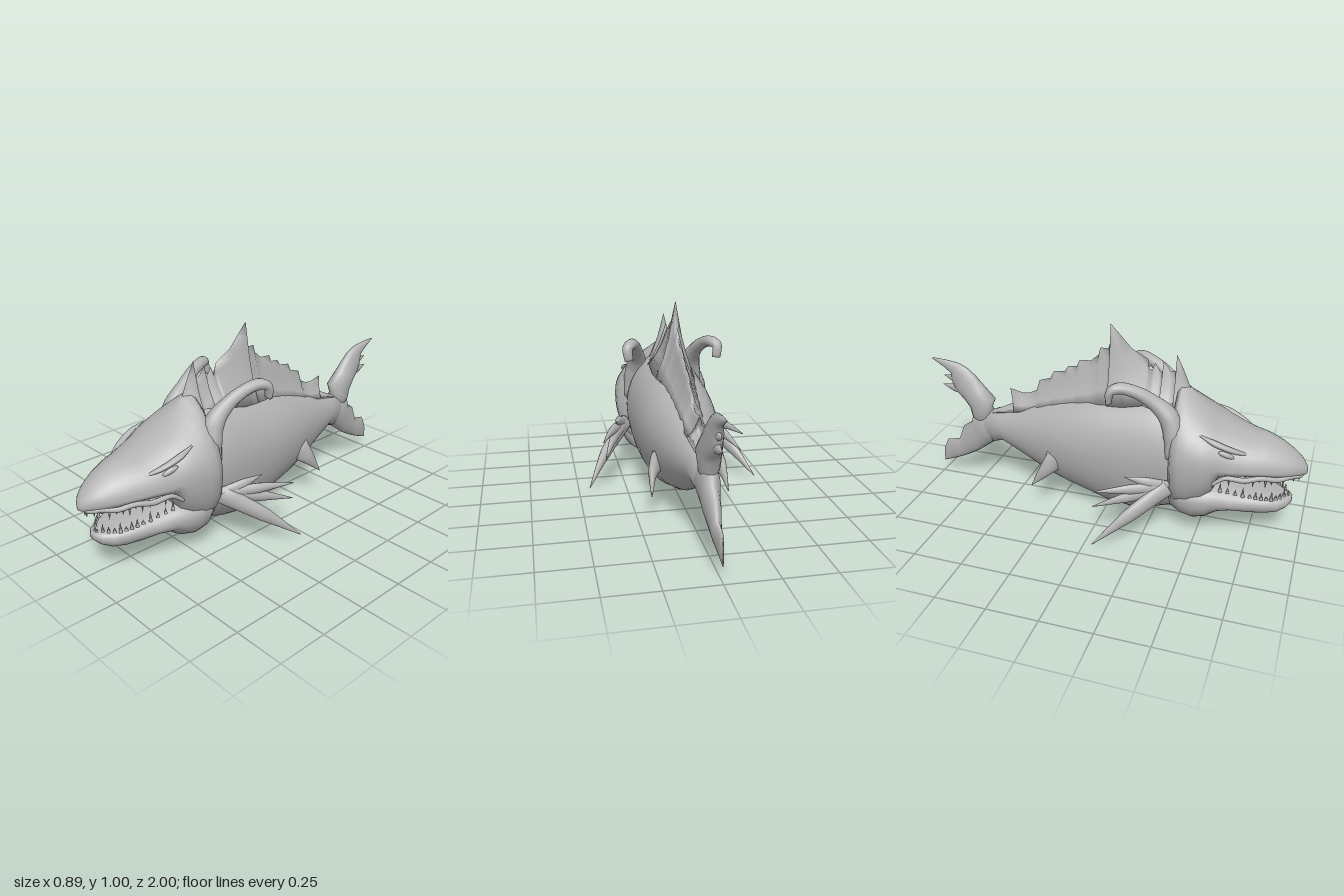
import * as THREE from 'three';

const V = (x, y, z) => new THREE.Vector3(x, y, z);
const skin = new THREE.MeshStandardMaterial({ color: 0xb2b2b2 });
skin.name = 'grey skin';

// Closed skin over a list of equal-length rings, with both ends capped
function loft(rings) {
  const n = rings[0].length, pos = [], idx = [];
  rings.forEach(r => r.forEach(p => pos.push(p.x, p.y, p.z)));
  for (let i = 0; i < rings.length - 1; i++) {
    for (let j = 0; j < n; j++) {
      const k = (j + 1) % n, a = i * n + j, b = i * n + k;
      idx.push(a, a + n, b, b, a + n, b + n);
    }
  }
  for (const end of [0, rings.length - 1]) {
    const c = rings[end].reduce((s, p) => s.add(p), V(0, 0, 0)).divideScalar(n);
    const ci = pos.length / 3;
    pos.push(c.x, c.y, c.z);
    for (let j = 0; j < n; j++) {
      const a = end * n + j, b = end * n + (j + 1) % n;
      idx.push(ci, end ? b : a, end ? a : b);
    }
  }
  const g = new THREE.BufferGeometry();
  g.setAttribute('position', new THREE.Float32BufferAttribute(pos, 3));
  g.setIndex(idx);
  g.computeVertexNormals();
  return g;
}

// Ellipse-like ring; N points to the first vertex, B to the quarter turn
function ring(c, N, B, n = 12) {
  return Array.from({ length: n }, (_, j) => {
    const a = j / n * Math.PI * 2;
    return c.clone().addScaledVector(N, Math.cos(a)).addScaledVector(B, Math.sin(a));
  });
}

// Rows along z: [z, half width, top, widest height, bottom, peak]; a high peak gives a sharp ridge
function hull(rows, lowerPower, n = 36) {
  return loft(rows.map(([z, w, top, mid, bot, peak]) => Array.from({ length: n }, (_, j) => {
    const a = j / n * Math.PI * 2, s = Math.sin(a), c = Math.cos(a);
    const p = c > 0 ? peak : lowerPower;
    return V(Math.sign(s) * w * Math.abs(s) ** p, mid + c * (c > 0 ? top - mid : mid - bot), z);
  })));
}

// Curved tapering limb: radii are [across, along ref] pairs
function limb(points, radii, steps = 14, ref = V(0, 1, 0)) {
  const curve = new THREE.CatmullRomCurve3(points);
  const rings = [];
  for (let i = 0; i <= steps; i++) {
    const t = i / steps, T = curve.getTangent(t);
    const f = t * (radii.length - 1), k = Math.min(Math.floor(f), radii.length - 2);
    const r = [0, 1].map(q => THREE.MathUtils.lerp(radii[k][q], radii[k + 1][q], f - k));
    const B = ref.clone().cross(T).normalize(), N = T.clone().cross(B);
    rings.push(ring(curve.getPoint(t), N.multiplyScalar(r[1]), B.multiplyScalar(r[0])));
  }
  return loft(rings);
}

// Upright fin lobe: rows of [lower z, lower y, upper z, upper y, half thickness]
function lobe(rows) {
  return loft(rows.map(([az, ay, bz, by, t]) =>
    ring(V(0, (ay + by) / 2, (az + bz) / 2), V(0, (ay - by) / 2, (az - bz) / 2), V(t, 0, 0), 16)));
}

export function createModel() {
  const model = new THREE.Group();
  const add = (name, geo) => {
    const m = new THREE.Mesh(geo, skin);
    m.name = name;
    model.add(m);
    return m;
  };

  add('body', hull([
    [-.7, .05, .43, .35, .235, 1], [-.6, .073, .45, .36, .268, 1], [-.5, .102, .485, .36, .222, 1],
    [-.4, .128, .525, .36, .17, 1], [-.3, .155, .56, .37, .12, 1], [-.2, .179, .592, .37, .085, 1],
    [-.1, .194, .62, .37, .055, 1], [0, .203, .64, .37, .02, 1], [.14, .208, .657, .37, 0, 1],
    [.22, .21, .663, .37, .015, 1], [.3, .21, .67, .38, .04, 1], [.4, .2, .67, .38, .07, 1.2],
    [.46, .15, .62, .38, .12, 1.2]], 1.15));

  // Skull with flared gill covers, ending in the upper jaw
  add('upperHead', hull([
    [.355, .2, .74, .41, .14, 1.8], [.375, .245, .74, .41, .14, 1.75], [.41, .256, .72, .415, .14, 1.65],
    [.45, .257, .688, .42, .14, 1.45], [.52, .247, .635, .42, .18, 1.15], [.565, .232, .605, .42, .23, 1],
    [.6, .215, .588, .41, .335, 1], [.66, .198, .562, .4, .348, 1], [.73, .18, .538, .4, .35, 1.1],
    [.8, .153, .53, .395, .352, 1.25], [.87, .124, .5, .39, .345, 1.25], [.93, .089, .46, .385, .34, 1.15],
    [.97, .056, .425, .38, .345, 1], [.993, .026, .395, .37, .348, 1], [1, .01, .38, .365, .353, 1]], 0.55));

  add('lowerJaw', hull([
    [.36, .17, .28, .2, .09, .6], [.42, .21, .29, .2, .065, .6], [.48, .217, .29, .2, .052, .6],
    [.54, .208, .288, .2, .07, .6], [.6, .188, .28, .2, .115, .6], [.66, .165, .262, .19, .128, .6],
    [.74, .142, .248, .19, .12, .6], [.82, .117, .235, .185, .12, .6], [.88, .09, .225, .18, .132, .6],
    [.92, .058, .216, .185, .155, .6], [.942, .02, .21, .192, .18, .6]], 0.8));

  // Ragged dorsal crest, listed from back to front as [z, y]; it flares out into the back
  const crest = [
    [-.65, .44], [-.55, .49], [-.52, .5], [-.515, .53], [-.55, .58], [-.48, .565], [-.44, .57],
    [-.4, .59], [-.38, .65], [-.32, .67], [-.3, .71], [-.24, .72], [-.22, .75], [-.175, .755],
    [-.16, .79], [-.1, .795], [-.06, .83], [-.05, .87], [-.01, .87], [.01, .93], [.003, 1],
    [.06, .94], [.11, .885], [.195, .84], [.2, .785], [.215, .79], [.23, .825], [.255, .785],
    [.27, .78], [.27, .84], [.31, .79], [.34, .8], [.335, .88], [.37, .81], [.4, .74], [.43, .67]];
  let zMax = -1;
  add('dorsalFin', loft(crest.map(([z, y]) => {
    zMax = Math.max(zMax, z);
    const base = .59 + .24 * zMax - Math.max(0, zMax - .2) * .55;
    const w = Math.min(.1, .1 + .1 * zMax);
    const at = (t, x) => V(x * w, base + (y - base) * t, zMax + (z - zMax) * t);
    return [at(1, 0), at(.8, .15), at(.55, .34), at(.3, .62), at(0, 1.05),
      at(0, -1.05), at(.3, -.62), at(.55, -.34), at(.8, -.15)];
  })));

  // Forked tail
  add('upperTailFin', lobe([
    [-.75, .33, -.64, .41, .04], [-.78, .39, -.665, .45, .05], [-.79, .44, -.645, .5, .056],
    [-.82, .48, -.7, .56, .048], [-.86, .515, -.75, .62, .038], [-.885, .565, -.79, .657, .032],
    [-.89, .62, -.84, .682, .024], [-.93, .652, -.92, .694, .014], [-1, .692, -.99, .698, .003]]));
  add('lowerTailFin', lobe([
    [-.6, .29, -.6, .43, .055], [-.68, .235, -.7, .435, .054], [-.72, .205, -.77, .42, .047],
    [-.76, .175, -.79, .35, .04], [-.81, .145, -.845, .31, .032], [-.87, .115, -.88, .225, .022],
    [-.93, .09, -.95, .212, .014], [-.985, .07, -.98, .155, .004]]));
  for (const [y0, y1, y2, tip] of [[.54, .538, .55, -.945], [.605, .595, .605, -.935]]) {
    add('tailBarb', limb([V(0, y0, -.82), V(0, y1, -.88), V(0, y2, tip)],
      [[.025, .035], [.014, .022], [.001, .001]], 6));
  }

  // Small keel fin under the belly
  add('bellyFin', limb([V(0, .035, .02), V(0, .05, -.07), V(0, .055, -.135)],
    [[.03, .02], [.02, .015], [.001, .001]], 6));

  const toothGeo = new THREE.ConeGeometry(1, 1, 6);
  for (const s of [1, -1]) {
    const side = s > 0 ? 'left' : 'right';
    const P = (x, y, z) => V(s * x, y, z);

    // Hooked horn growing out of the gill cover, with a blunt flared tip
    add(side + 'Horn', limb([P(.185, .42, .365), P(.165, .53, .37), P(.15, .62, .34), P(.16, .69, .27),
      P(.185, .745, .185), P(.21, .765, .11), P(.232, .752, .075), P(.226, .69, .065)],
      [[.03, .03], [.05, .05], [.05, .052], [.036, .036], [.03, .03], [.028, .03], [.022, .026], [.014, .022]],
      28, V(1, 0, 0)));

    // Spread spines of the pectoral fin
    const root = P(.215, .275, .36);
    for (const [x, y, z, w] of [[.445, .025, .05, .044], [.36, .185, .025, .034], [.37, .275, .03, .03], [.285, .335, .165, .03]]) {
      const tip = P(x, y, z), mid = root.clone().lerp(tip, .5).add(V(s * .012, .008, 0));
      add(side + 'PectoralSpine', limb([root, mid, tip],
        [[w * .7, w * 1.1], [w * .6, w * .85], [.002, .002]], 8));
    }

    add(side + 'PelvicFin', limb([P(.13, .28, -.25), P(.168, .225, -.295), P(.187, .13, -.37)],
      [[.03, .07], [.022, .038], [.002, .002]], 8));

    // Scowling brow over a narrow eye
    add(side + 'Brow', limb([P(.125, .468, .745), P(.167, .5, .66), P(.186, .535, .575), P(.182, .565, .5)],
      [[.004, .004], [.016, .013], [.018, .015], [.004, .004]], 10));
    const eye = add(side + 'Eye', new THREE.SphereGeometry(1, 14, 10));
    eye.scale.set(.012, .014, .042);
    eye.position.set(s * .183, .482, .63);
    eye.rotation.set(.4, s * -.25, 0);

    // Wavy lip along the upper jaw
    add(side + 'Lip', limb([P(.2, .32, .575), P(.188, .358, .63), P(.17, .352, .72), P(.142, .362, .8),
      P(.112, .35, .87), P(.076, .358, .93), P(.038, .352, .972), P(0, .36, .985)],
      [[.008, .008], [.012, .014], [.011, .013], [.01, .012], [.008, .01]], 28));

    // Rows of uneven pointed teeth
    const upper = new THREE.CatmullRomCurve3([P(.168, .35, .61), P(.14, .35, .76), P(.1, .345, .87), P(.008, .345, .965)]);
    const lower = new THREE.CatmullRomCurve3([P(.165, .272, .61), P(.125, .238, .75), P(.09, .222, .85), P(.008, .21, .922)]);
    for (let i = 0; i < 13; i++) {
      for (const [curve, dir, name] of [[upper, -1, 'upperTooth'], [lower, 1, 'lowerTooth']]) {
        const h = .038 + .018 * Math.sin(i * 2.4 + dir);
        const tooth = add(name, toothGeo);
        tooth.position.copy(curve.getPoint(i / 12)).add(V(0, dir * h * .4, 0));
        tooth.scale.set(.01, h, .01);
        if (dir < 0) tooth.rotation.x = Math.PI;
      }
    }
  }
  return model;
}
